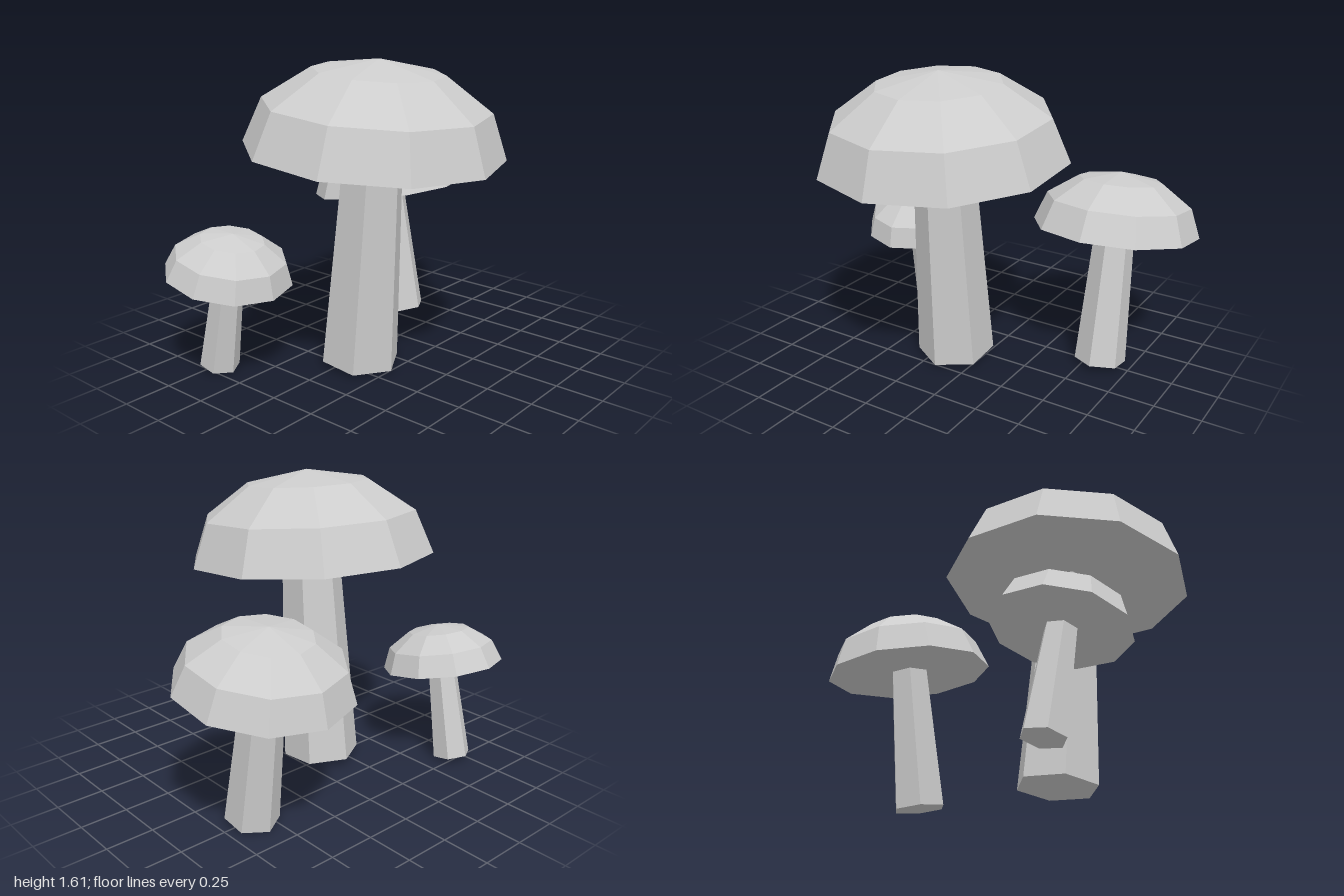
import * as THREE from 'three';

const paleGrey = new THREE.MeshStandardMaterial({ color: 0xcccccc, flatShading: true });
paleGrey.name = 'paleGrey';

// Closed ten-sided dome: flat underside, then three bands up to the tip.
function capGeometry(radius, height) {
  const profile = [new THREE.Vector2(0, 0)];
  for (let i = 0; i <= 3; i++) {
    const a = (i * Math.PI) / 6;
    profile.push(new THREE.Vector2(i === 3 ? 0 : radius * Math.cos(a), height * Math.sin(a)));
  }
  return new THREE.LatheGeometry(profile, 10);
}

// A mushroom that stands on its base centre and leans forward or back.
function mushroom({ name, base, lean, length, foot, neck, capRadius, capHeight }) {
  const group = new THREE.Group();
  group.name = name;

  const stem = new THREE.Mesh(new THREE.CylinderGeometry(neck, foot, length, 6), paleGrey);
  stem.name = 'stem';
  stem.position.y = length / 2;

  const cap = new THREE.Mesh(capGeometry(capRadius, capHeight), paleGrey);
  cap.name = 'cap';
  cap.position.y = length;

  group.add(stem, cap);
  group.position.set(...base);
  group.rotation.x = lean;
  return group;
}

export function createModel() {
  const model = new THREE.Group();
  model.name = 'mushroomCluster';
  model.add(
    mushroom({
      name: 'largeMushroom', base: [-0.163, 0.025, 0.055], lean: 0.08, length: 1.14,
      foot: 0.21, neck: 0.157, capRadius: 0.656, capHeight: 0.454,
    }),
    mushroom({
      name: 'mediumMushroom', base: [0.582, 0.021, -0.255], lean: -0.148, length: 0.747,
      foot: 0.139, neck: 0.105, capRadius: 0.439, capHeight: 0.304,
    }),
    mushroom({
      name: 'smallMushroom', base: [-0.69, 0.021, -0.468], lean: 0.195, length: 0.53,
      foot: 0.104, neck: 0.078, capRadius: 0.327, capHeight: 0.226,
    }),
  );
  return model;
}
